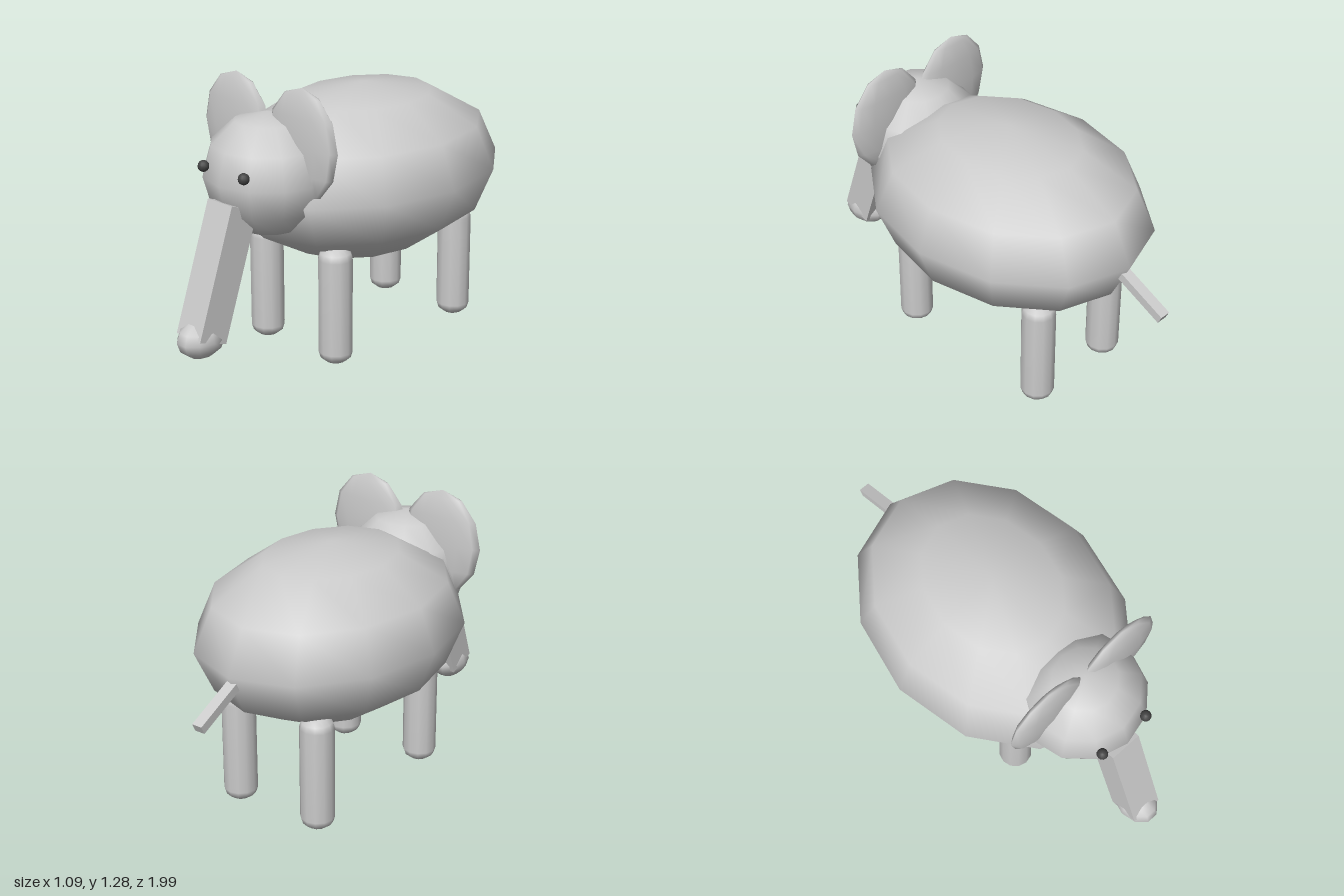
import * as THREE from 'three';

export function createModel() {
  const model = new THREE.Group();
  const grey = new THREE.MeshStandardMaterial({ color: 0xcccccc });
  const dark = new THREE.MeshStandardMaterial({ color: 0x444444 });

  const add = (name, geometry, position, material = grey) => {
    const mesh = new THREE.Mesh(geometry, material);
    mesh.name = name;
    mesh.position.set(...position);
    model.add(mesh);
    return mesh;
  };
  // Coarse, smooth-shaded sphere stretched along each axis
  const ellipsoid = (rx, ry, rz, w = 12, h = 6) =>
    new THREE.SphereGeometry(1, w, h).scale(rx, ry, rz);

  add('body', ellipsoid(0.545, 0.387, 0.7), [0, 0.777, -0.09]);
  add('head', ellipsoid(0.29, 0.27, 0.28), [0, 0.875, 0.485]);

  // Trunk slopes forward and down to a rounded tip
  add('trunk', new THREE.BoxGeometry(0.15, 0.583, 0.15), [0, 0.507, 0.786]).rotation.x = -0.337;
  add('trunkTip', ellipsoid(0.088, 0.085, 0.115, 10, 6), [0, 0.235, 0.885]);

  add('tail', new THREE.BoxGeometry(0.05, 0.04, 0.3), [0, 0.69, -0.848]).rotation.x = -0.45;

  // Legs: columns with rounded ends
  const legProfile = [[0, 0], [0.042, 0.012], [0.068, 0.032], [0.077, 0.06],
    [0.077, 0.49], [0.068, 0.518], [0.042, 0.538], [0, 0.55]]
    .map(([r, y]) => new THREE.Vector2(r, y));
  const legGeometry = new THREE.LatheGeometry(legProfile, 12);
  const earGeometry = ellipsoid(0.205, 0.243, 0.042);
  const eyeGeometry = new THREE.SphereGeometry(0.025, 12, 8);

  // Paired parts
  for (const [side, s] of [['left', 1], ['right', -1]]) {
    add(side + 'FrontLeg', legGeometry, [s * 0.217, 0, 0.302]);
    add(side + 'BackLeg', legGeometry, [s * 0.217, 0, -0.48]);
    add(side + 'Ear', earGeometry, [s * 0.2, 1.036, 0.475]);
    add(side + 'Eye', eyeGeometry, [s * 0.125, 0.932, 0.737], dark);
  }
  return model;
}
